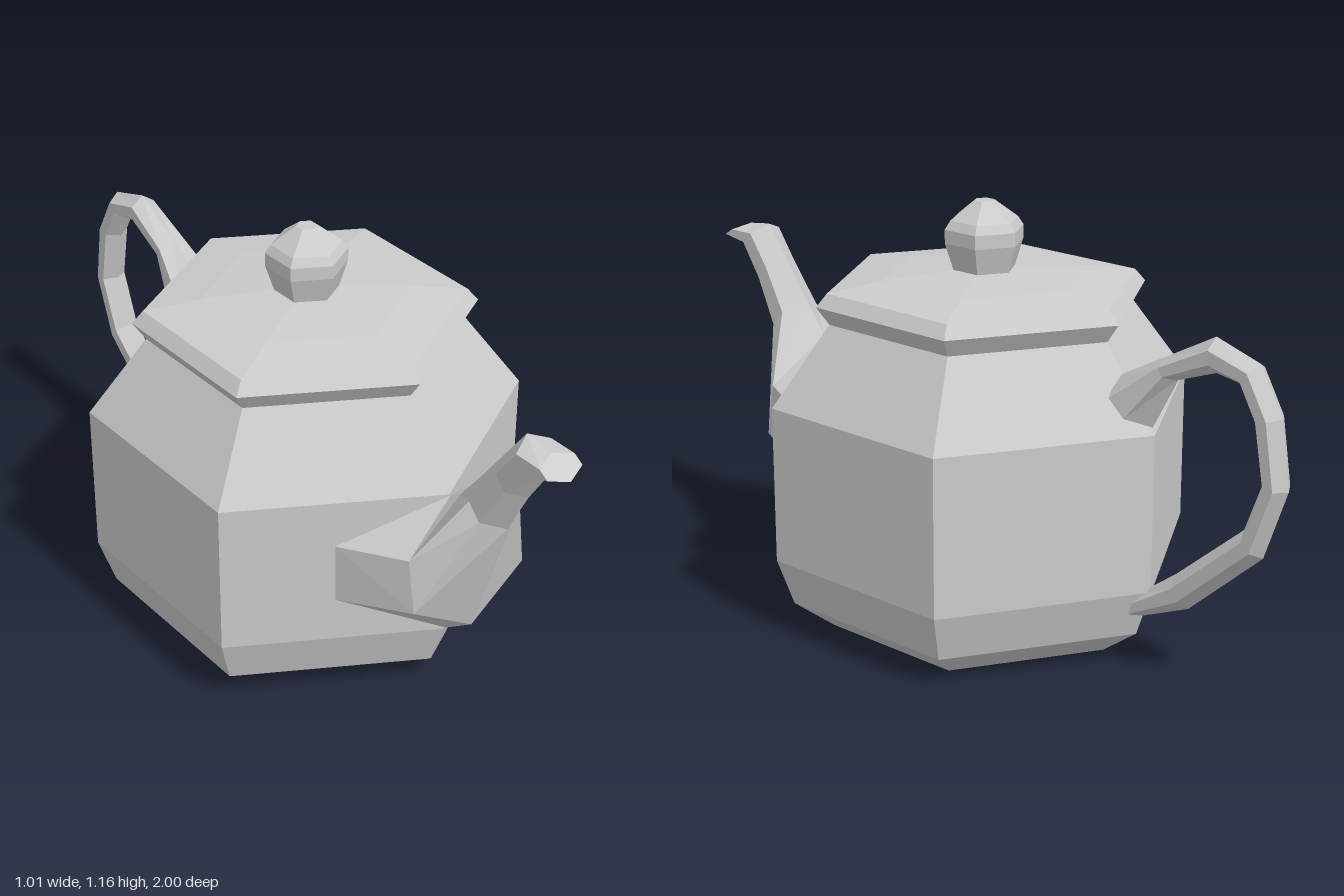
import * as THREE from 'three';

const material = new THREE.MeshStandardMaterial({ color: 0xcccccc, flatShading: true });

// Six-sided turned part with corners pointing to front and back; profile is [radius, y]
function turned(name, profile) {
  const points = profile.map(([r, y]) => new THREE.Vector2(r, y));
  const mesh = new THREE.Mesh(new THREE.LatheGeometry(points, 6), material);
  mesh.name = name;
  return mesh;
}

// Hexagonal tube through sections [zA, yA, zB, yB, halfWidth, sideShift]:
// A and B are the two corners on the middle plane, the other four sit at the sides.
function hexTube(name, sections) {
  const positions = [], indices = [];
  for (const [zA, yA, zB, yB, w, shift = 0] of sections) {
    for (const [x, t] of [[0, 0], [w, 0.3], [w, 0.7], [0, 1], [-w, 0.7], [-w, 0.3]]) {
      const z = zA + (zB - zA) * t + (x === 0 ? 0 : shift);
      positions.push(x, yA + (yB - yA) * t, z);
    }
  }
  const last = (sections.length - 1) * 6;
  for (let i = 0; i < last; i += 6) {
    for (let j = 0; j < 6; j++) {
      const a = i + j, b = i + (j + 1) % 6;
      indices.push(a, a + 6, b, b, a + 6, b + 6);
    }
  }
  // End caps
  for (let j = 1; j < 5; j++) {
    indices.push(0, j, j + 1, last, last + j + 1, last + j);
  }
  const geometry = new THREE.BufferGeometry();
  geometry.setAttribute('position', new THREE.Float32BufferAttribute(positions, 3));
  geometry.setIndex(indices);
  geometry.computeVertexNormals();
  const mesh = new THREE.Mesh(geometry, material);
  mesh.name = name;
  return mesh;
}

export function createModel() {
  const teapot = new THREE.Group();
  teapot.name = 'teapot';

  teapot.add(turned('body', [
    [0, 0], [0.43, 0], [0.54, 0.08], [0.585, 0.21], [0.585, 0.64], [0.425, 0.855],
  ]));

  teapot.add(turned('lid', [
    [0.425, 0.855], [0.46, 0.905], [0.43, 0.94], [0.28, 0.962], [0.09, 0.977], [0, 0.977],
  ]));

  teapot.add(turned('lidKnob', [
    [0.085, 0.975], [0.109, 1.05], [0.109, 1.087], [0.094, 1.11], [0.028, 1.16], [0, 1.16],
  ]));

  // Spout, from the wide base on the front corner up to the tip
  teapot.add(hexTube('spout', [
    [0.59, 0.64, 0.595, 0.22, 0.257, -0.143],
    [0.627, 0.664, 0.69, 0.29, 0.184, 0.003],
    [0.70, 0.76, 0.80, 0.655, 0.067],
    [0.78, 0.87, 0.865, 0.785, 0.056],
    [0.846, 0.96, 0.927, 0.884, 0.056],
    [0.93, 0.95, 1.0, 0.905, 0.056],
  ]));

  // Handle, from its lower end round the back to the flared upper end
  teapot.add(hexTube('handle', [
    [-0.514, 0.118, -0.53, 0.185, 0.038],
    [-0.707, 0.2, -0.665, 0.285, 0.038],
    [-0.93, 0.4, -0.87, 0.46, 0.038],
    [-0.996, 0.59, -0.922, 0.6, 0.038],
    [-0.97, 0.77, -0.892, 0.755, 0.038],
    [-0.9, 0.895, -0.85, 0.832, 0.038],
    [-0.766, 0.937, -0.77, 0.845, 0.038],
    [-0.61, 0.853, -0.648, 0.8, 0.045],
    [-0.455, 0.77, -0.578, 0.66, 0.074],
  ]));

  return teapot;
}
